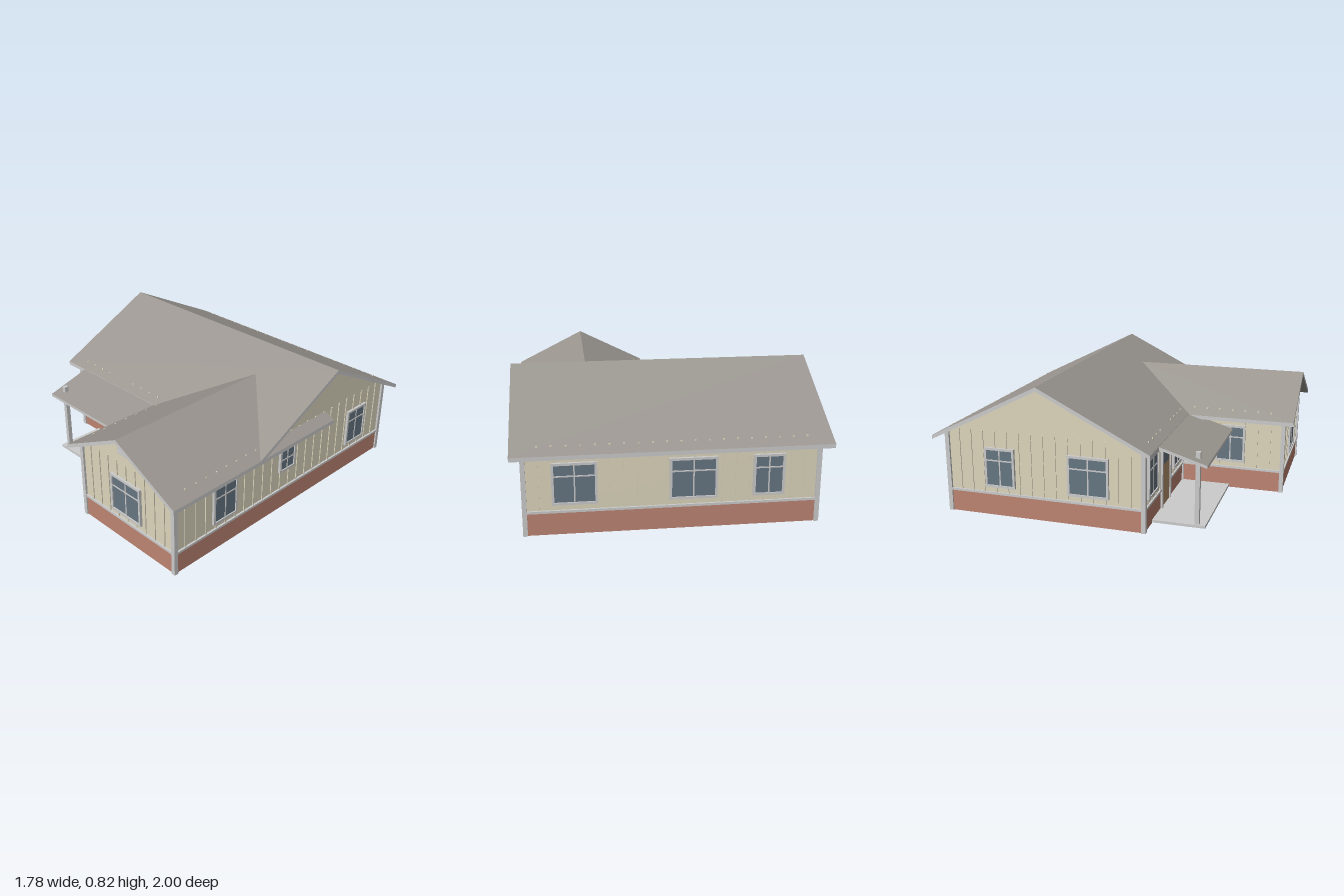
import * as THREE from 'three';

const mat = (color) => new THREE.MeshStandardMaterial({ color });
const M = {
  trim: mat(0xcccccc), siding: mat(0xddd6bd), brick: mat(0xbd8472),
  roof: mat(0x9a958f), glass: mat(0x667682), door: mat(0xb5926f),
};
M.siding.side = THREE.DoubleSide;

// Box given by its two extremes on every axis
function box(parent, name, material, x0, x1, y0, y1, z0, z1) {
  const m = new THREE.Mesh(new THREE.BoxGeometry(x1 - x0, y1 - y0, z1 - z0), material);
  m.position.set((x0 + x1) / 2, (y0 + y1) / 2, (z0 + z1) / 2);
  m.name = name;
  parent.add(m);
  return m;
}

// Sloped slab: a plan outline of [x, z] lifted to the height rule, with trim edges as fascia
function roofSlab(parent, name, plan, height, t = 0.024) {
  const shape = new THREE.Shape(plan.map(([x, z]) => new THREE.Vector2(x, -z)));
  const g = new THREE.ExtrudeGeometry(shape, { depth: t, bevelEnabled: false });
  g.rotateX(-Math.PI / 2);
  const p = g.attributes.position;
  for (let i = 0; i < p.count; i++) p.setY(i, p.getY(i) - t + height(p.getX(i), p.getZ(i)));
  g.computeVertexNormals();
  const m = new THREE.Mesh(g, [M.roof, M.trim]);
  m.name = name;
  parent.add(m);
}

// Framed window with a centre mullion and a transom bar, on the wall plane
function addWindow(wall, u, w, y0 = 0.178, y1 = 0.422) {
  const g = new THREE.Group();
  g.name = 'window';
  const a = u - w / 2, b = u + w / 2, f = 0.014;
  box(g, 'glass', M.glass, a + f, b - f, y0 + f, y1 - f, -0.014, 0.009);
  box(g, 'frameLeft', M.trim, a, a + f, y0, y1, 0, 0.016);
  box(g, 'frameRight', M.trim, b - f, b, y0, y1, 0, 0.016);
  box(g, 'frameBottom', M.trim, a + f, b - f, y0, y0 + f, 0, 0.016);
  box(g, 'frameTop', M.trim, a + f, b - f, y1 - f, y1, 0, 0.016);
  box(g, 'mullion', M.trim, u - 0.004, u + 0.004, y0 + f, y1 - f, 0, 0.012);
  box(g, 'transom', M.trim, a + f, b - f, y1 - 0.082, y1 - 0.074, 0, 0.012);
  wall.add(g);
}

// Wall facing local +z: u runs to the right as seen from outside, top is the siding's upper line
function addWall(house, name, pos, angle, u0, u1, top, windows, gap = null) {
  const wall = new THREE.Group();
  wall.name = name;
  wall.position.set(...pos);
  wall.rotation.y = angle;
  const outline = [[u0, 0.13], [u1, 0.13], ...top].map((q) => new THREE.Vector2(...q));
  const siding = new THREE.Mesh(
    new THREE.ExtrudeGeometry(new THREE.Shape(outline), { depth: 0.01, bevelEnabled: false }), M.siding);
  siding.position.z = -0.01;
  siding.name = 'siding';
  wall.add(siding);

  // Brick base and ledge, interrupted at a doorway
  const runs = gap ? [[u0, gap[0]], [gap[1], u1]] : [[u0, u1]];
  for (const [a, b] of runs) {
    box(wall, 'brickBase', M.brick, a, b, 0, 0.131, -0.01, 0.004);
    box(wall, 'ledge', M.trim, a, b, 0.131, 0.145, -0.008, 0.012);
  }

  // Vertical battens
  const n = Math.round((u1 - u0) / 0.078);
  for (let i = 1; i < n; i++) {
    const u = u0 + ((u1 - u0) * i) / n;
    if (gap && u > gap[0] && u < gap[1]) continue;
    box(wall, 'batten', M.siding, u - 0.005, u + 0.005, 0.145, 0.522, 0, 0.006);
  }
  windows.forEach((w) => addWindow(wall, ...w));
  house.add(wall);
  return wall;
}

export function createModel() {
  const house = new THREE.Group();
  house.name = 'house';
  const X = 0.82, ZB = -0.935, ZM = 0.28, ZF = 0.935, XW = 0.05; // wall planes
  const RZ = -0.33, RX = 0.437, E = 0.49; // ridge lines and eave height
  const H = Math.PI / 2;

  // Walls
  addWall(house, 'rightWall', [X, 0, 0], H, -ZF, -ZB,
    [[-ZB, E], [-RZ, 0.795], [-ZM, E], [-ZF, E]],
    [[-0.555, 0.19], [-0.025, 0.14, 0.265], [0.655, 0.19]]);
  addWall(house, 'leftWall', [-X, 0, 0], -H, ZB, ZM,
    [[ZM, E], [RZ, 0.795], [ZB, E]], [[-0.6, 0.19], [-0.05, 0.25]]);
  addWall(house, 'backWall', [0, 0, ZB], Math.PI, -X, X,
    [[X, E], [-X, E]], [[-0.545, 0.25], [0.11, 0.27], [0.535, 0.18]]);
  addWall(house, 'wingSideWall', [XW, 0, 0], -H, ZM, ZF,
    [[ZF, E], [ZM, E]], [[0.6, 0.19]]);
  const wing = addWall(house, 'wingFrontWall', [0, 0, ZF], 0, XW, X,
    [[X, E], [RX, 0.685], [XW, E]], [[0.435, 0.25]]);
  const front = addWall(house, 'frontWall', [0, 0, ZM], 0, -X, XW,
    [[XW, E], [-X, E]], [[-0.66, 0.2], [-0.112, 0.2]], [-0.48, -0.285]);

  // Gable vent
  box(wing, 'ventFrame', M.trim, 0.385, 0.485, 0.582, 0.644, 0, 0.012);
  for (let i = 0; i < 4; i++) {
    const y = 0.592 + i * 0.012;
    box(wing, 'ventSlat', M.trim, 0.393, 0.477, y, y + 0.006, 0.012, 0.016);
  }

  // Front door
  box(front, 'door', M.door, -0.465, -0.3, 0.02, 0.39, -0.014, 0.008);
  box(front, 'doorGlass', M.glass, -0.44, -0.328, 0.285, 0.37, 0.004, 0.011);
  box(front, 'doorJamb', M.trim, -0.485, -0.465, 0, 0.405, -0.008, 0.016);
  box(front, 'doorJamb', M.trim, -0.3, -0.28, 0, 0.405, -0.008, 0.016);
  box(front, 'doorHead', M.trim, -0.465, -0.3, 0.39, 0.405, -0.008, 0.016);
  box(front, 'doorSill', M.trim, -0.465, -0.3, 0, 0.02, -0.008, 0.016);

  // Corner boards
  for (const [x, z] of [[-X, ZB], [X, ZB], [-X, ZM], [XW, ZF], [X, ZF]]) {
    box(house, 'cornerBoard', M.trim, x - 0.013, x + 0.013, 0, 0.5, z - 0.013, z + 0.013);
  }
  box(house, 'innerCorner', M.trim, XW - 0.015, XW, 0, E, ZM, ZM + 0.015);

  // Main roof
  const mainH = (x, z) => 0.82 - 0.5 * Math.abs(z - RZ);
  for (const [name, a, b] of [['mainRoofFront', RZ, 0.335], ['mainRoofBack', -1, RZ]]) {
    roofSlab(house, name, [[-0.888, b], [0.888, b], [0.888, a], [-0.888, a]], mainH);
  }

  // Wing roof, cut along the valleys; its right eave runs on below the main gable
  const wingH = (x) => 0.71 - 0.5 * Math.abs(x - RX);
  roofSlab(house, 'wingRoofLeft', [[-0.015, 1], [RX, 1], [RX, -0.11], [-0.015, 0.342]], wingH);
  roofSlab(house, 'wingRoofRight',
    [[RX, 1], [0.888, 1], [0.888, RZ], [X, RZ], [X, 0.273], [RX, -0.11]], wingH);

  // Porch
  const porch = new THREE.Group();
  porch.name = 'porch';
  roofSlab(porch, 'porchRoof', [[-0.715, 0.615], [0.03, 0.615], [0.03, 0.29], [-0.715, 0.29]],
    (x, z) => 0.485 - 0.3 * (z - 0.335), 0.018);
  box(porch, 'porchSlab', M.trim, -0.67, XW, 0.004, 0.02, ZM, 0.6);
  box(porch, 'porchPost', M.trim, -0.662, -0.635, 0.02, 0.457, 0.535, 0.562);
  box(porch, 'porchBeam', M.trim, -0.662, XW, 0.387, 0.404, 0.538, 0.559);
  house.add(porch);
  return house;
}
